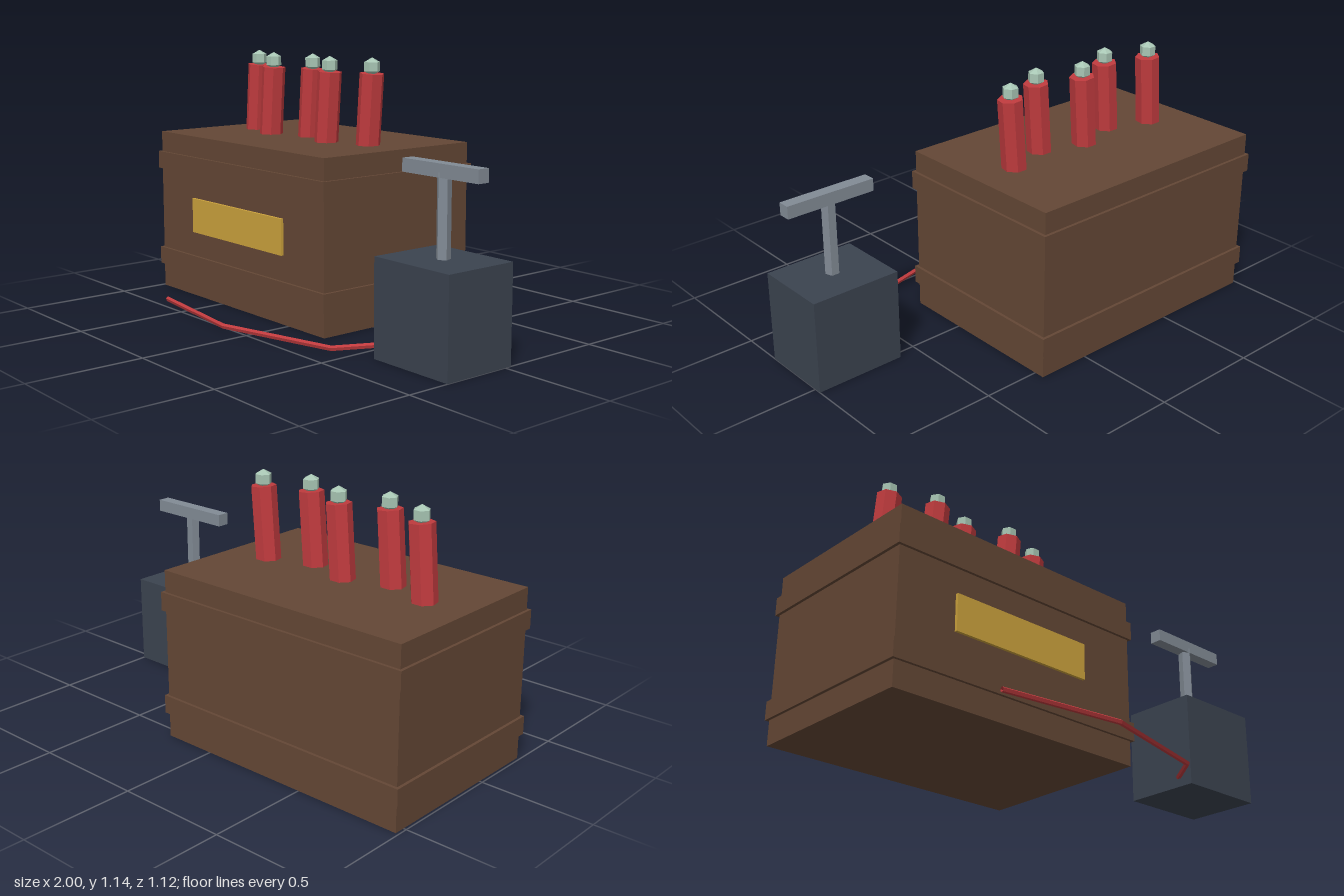
import * as THREE from 'three';

const mat = (name, color, extra = {}) => {
  const m = new THREE.MeshStandardMaterial({ color, flatShading: true, ...extra });
  m.name = name;
  return m;
};

// Straight-sided path through a list of points, one tube segment per span
class Polyline extends THREE.Curve {
  constructor(points) { super(); this.points = points; }
  getUtoTmapping(u) { return u; }
  getPoint(t, target = new THREE.Vector3()) {
    const n = this.points.length - 1;
    const i = Math.min(Math.floor(t * n + 1e-9), n - 1);
    return target.lerpVectors(this.points[i], this.points[i + 1], t * n - i);
  }
}

export function createModel() {
  const model = new THREE.Group();
  model.name = 'explosivesCrateWithPlunger';

  const wood = mat('brown wood', 0x644735);
  const gold = mat('gold label', 0xcca23c);
  const red = mat('red', 0xc03b3e, { side: THREE.DoubleSide });
  const green = mat('pale green', 0xa8c6b4);
  const dark = mat('dark slate', 0x3b434f);
  const steel = mat('grey steel', 0x828b95);

  const add = (parent, name, geometry, material, x, y, z) => {
    const mesh = new THREE.Mesh(geometry, material);
    mesh.name = name;
    mesh.position.set(x, y, z);
    parent.add(mesh);
    return mesh;
  };
  const box = (w, h, d) => new THREE.BoxGeometry(w, h, d);

  // Crate with two raised bands and a front label
  const crate = new THREE.Group();
  crate.name = 'crate';
  model.add(crate);
  const cx = -0.372, cz = -0.135;
  add(crate, 'crateBody', box(1.23, 0.755, 0.824), wood, cx, 0.3775, cz);
  add(crate, 'lowerBand', box(1.256, 0.081, 0.85), wood, cx, 0.151, cz);
  add(crate, 'upperBand', box(1.256, 0.081, 0.85), wood, cx, 0.619, cz);
  add(crate, 'label', box(0.68, 0.16, 0.013), gold, cx, 0.386, 0.2835);

  // Five leaning sticks in a zigzag row, each with a faceted cap
  const tilt = -0.078, length = 0.42;
  for (let i = 0; i < 5; i++) {
    const stick = new THREE.Group();
    stick.name = 'stick' + (i + 1);
    stick.position.set(-0.758 + i * 0.2055, 1.07, i % 2 ? -0.07 : -0.138);
    model.add(stick);
    const body = add(stick, 'stickBody', new THREE.CylinderGeometry(0.055, 0.055, length, 7), red,
      Math.sin(tilt) * length / 2, -Math.cos(tilt) * length / 2, 0);
    body.rotation.z = tilt;
    add(stick, 'stickCap', new THREE.SphereGeometry(0.04, 6, 3), green, 0, 0.029, 0);
  }

  // Plunger box with rod and crossbar handle
  const plunger = new THREE.Group();
  plunger.name = 'plunger';
  plunger.position.set(0.795, 0, 0.138);
  model.add(plunger);
  add(plunger, 'plungerBox', box(0.41, 0.412, 0.341), dark, 0, 0.206, 0);
  add(plunger, 'plungerRod', new THREE.CylinderGeometry(0.03, 0.03, 0.36, 5), steel, 0, 0.57, 0);
  add(plunger, 'plungerHandle', box(0.41, 0.055, 0.055), steel, 0, 0.757, 0);

  // Wire lying on the ground and running into the plunger box
  const path = new Polyline([
    [-0.645, 0.028, 0.476], [-0.098, 0.028, 0.545], [0.45, 0.03, 0.408], [0.66, 0.054, 0.155],
  ].map((p) => new THREE.Vector3(...p)));
  add(model, 'wire', new THREE.TubeGeometry(path, 3, 0.0115, 5), red, 0, 0, 0);

  return model;
}
